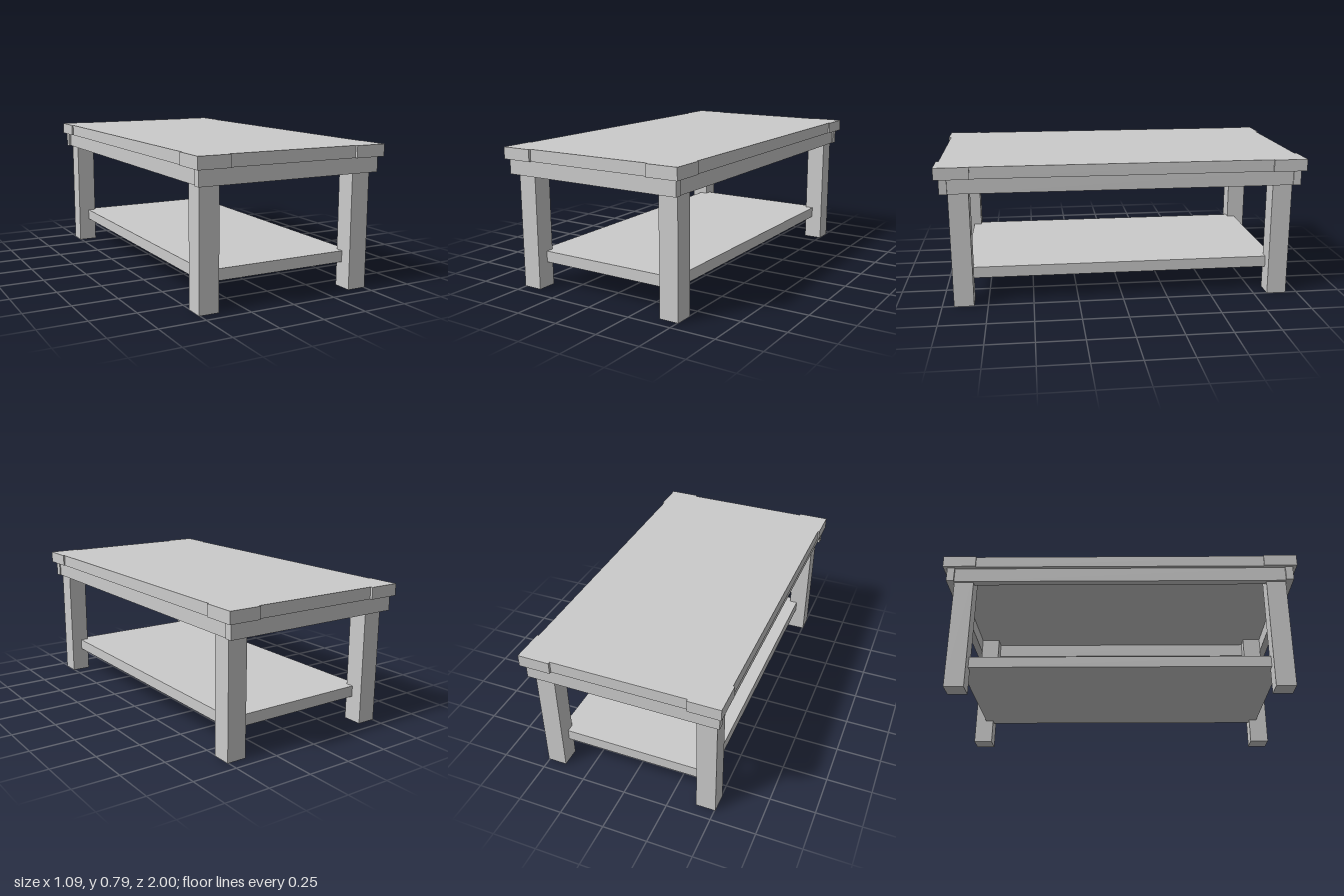
import * as THREE from 'three';

const material = new THREE.MeshStandardMaterial({ color: 0xcccccc });

// Box given by its lower and upper limits on each axis
function slab(name, [x0, x1], [y0, y1], [z0, z1]) {
  const mesh = new THREE.Mesh(new THREE.BoxGeometry(x1 - x0, y1 - y0, z1 - z0), material);
  mesh.position.set((x0 + x1) / 2, (y0 + y1) / 2, (z0 + z1) / 2);
  mesh.name = name;
  return mesh;
}

// Orders a mirrored pair of limits
const span = (sign, a, b) => (sign > 0 ? [a, b] : [-b, -a]);

// L-shaped sleeve that wraps one corner of the tabletop
function cornerCap(sx, sz, [y0, y1]) {
  const outline = [[0.37, 1], [0.546, 1], [0.546, 0.815], [0.537, 0.815], [0.537, 0.986], [0.37, 0.986]];
  const shape = new THREE.Shape(outline.map(([x, z]) => new THREE.Vector2(x * sx, -z * sz)));
  const geometry = new THREE.ExtrudeGeometry(shape, { depth: y1 - y0, bevelEnabled: false });
  geometry.rotateX(-Math.PI / 2);
  const mesh = new THREE.Mesh(geometry, material);
  mesh.position.y = y0;
  mesh.name = 'cornerCap';
  return mesh;
}

export function createModel() {
  const table = new THREE.Group();
  table.name = 'coffeeTable';
  const topY = [0.72, 0.785];
  const apronY = [0.637, 0.72];

  // Tabletop and lower shelf, whose corners sit inside the legs
  table.add(slab('tabletop', [-0.537, 0.537], topY, [-0.986, 0.986]));
  table.add(slab('shelf', [-0.442, 0.442], [0.14, 0.202], [-0.87, 0.87]));

  for (const s of [1, -1]) {
    // Aprons: the end boards run past the side boards
    table.add(slab('endApron', [-0.53, 0.524], apronY, span(s, 0.935, 0.977)));
    table.add(slab('sideApron', span(s, 0.475, 0.517), apronY, [-0.935, 0.935]));

    // Legs and corner caps
    for (const t of [1, -1]) {
      table.add(slab('leg', span(s, 0.396, 0.505), [0, 0.72], span(t, 0.826, 0.935)));
      table.add(cornerCap(s, t, topY));
    }
  }
  return table;
}
